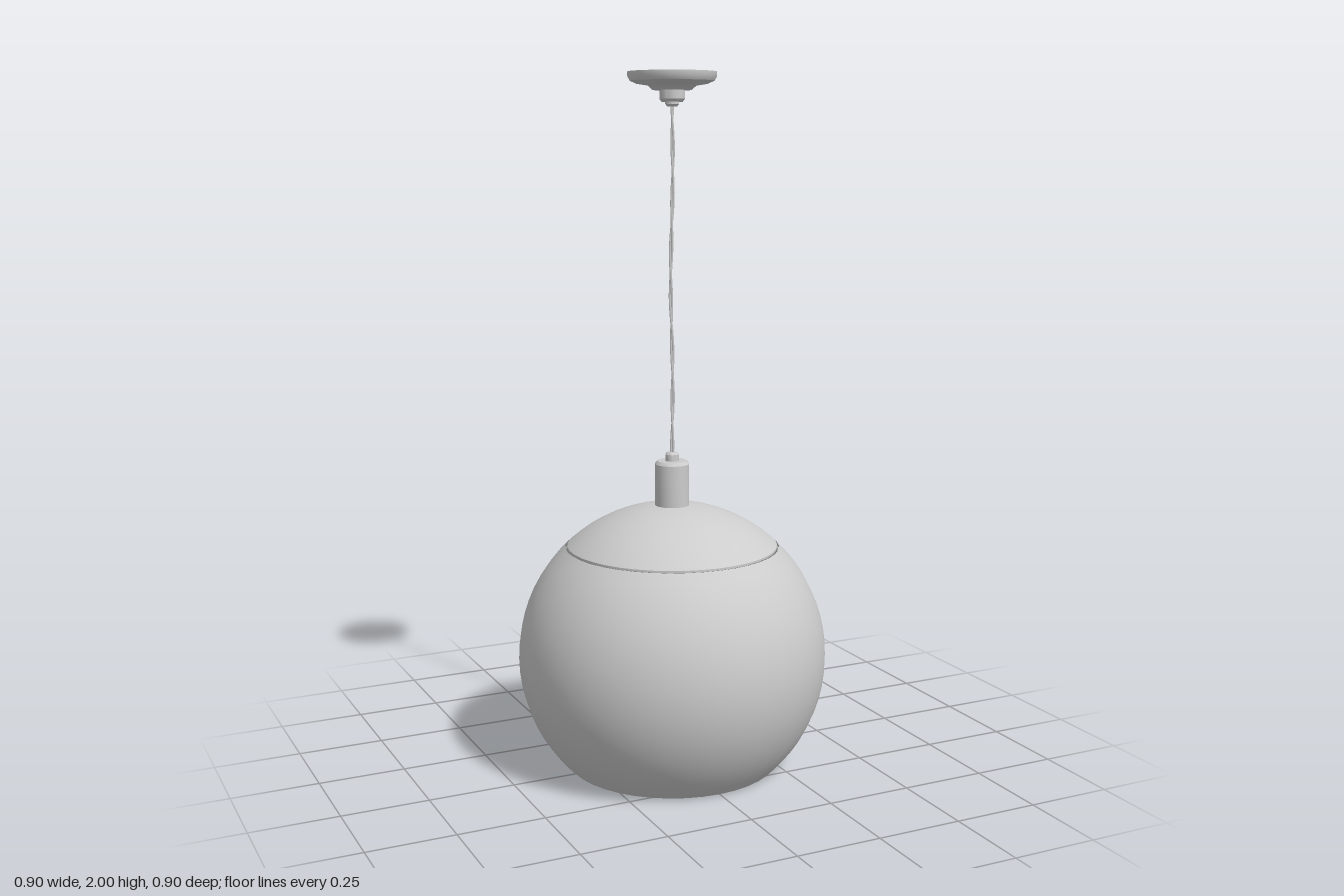
import * as THREE from 'three';
import { toCreasedNormals } from 'three/addons/utils/BufferGeometryUtils.js';

const R = 0.45;        // globe radius
const CENTRE = 0.325;  // globe centre height
const SEAM = 0.65;     // height where the cap meets the shade

// Points on a circle of radius r between two heights, listed from y0 to y1.
function arc(r, y0, y1, steps) {
  const a0 = Math.asin((y0 - CENTRE) / r), a1 = Math.asin((y1 - CENTRE) / r);
  return Array.from({ length: steps + 1 }, (_, i) => {
    const a = a0 + (a1 - a0) * i / steps;
    return [Math.max(0, r * Math.cos(a)), CENTRE + r * Math.sin(a)];
  });
}

export function createModel() {
  const group = new THREE.Group();
  const grey = new THREE.MeshStandardMaterial({ color: 0xcccccc, side: THREE.DoubleSide });
  grey.name = 'light grey';

  const add = (name, geometry) => {
    const mesh = new THREE.Mesh(geometry, grey);
    mesh.name = name;
    group.add(mesh);
  };
  // Profiles run from bottom to top on the outside.
  const turn = (name, profile, sides) => {
    const points = profile.map(([x, y]) => new THREE.Vector2(x, y));
    add(name, toCreasedNormals(new THREE.LatheGeometry(points, sides), 0.6));
  };

  // Open globe shade: inner wall, lower rim, outer wall
  const inner = arc(R - 0.008, 0.002, SEAM - 0.008, 18).reverse();
  turn('shade', [...inner, ...arc(R, 0, SEAM, 18)], 40);

  // Domed cap with a small rolled edge at the seam
  const dome = arc(R, SEAM + 0.012, CENTRE + R, 10);
  turn('cap', [[0.296, SEAM - 0.008], [0.306, SEAM - 0.001], [0.306, SEAM + 0.005], ...dome], 40);

  // Lamp holder and cord grip
  turn('lampHolder', [[0.05, 0.76], [0.05, 0.893], [0.043, 0.902], [0, 0.902]], 20);
  turn('cordGrip', [[0.02, 0.9], [0.02, 0.921], [0.015, 0.927], [0, 0.927]], 14);

  // Two loosely twisted strands of cord
  for (const side of [0, 1]) {
    const points = [];
    for (let i = 0; i <= 40; i++) {
      const t = i / 40;
      const a = t * Math.PI * 7 + side * Math.PI;
      const bow = 0.003 * Math.sin(t * Math.PI);
      points.push(new THREE.Vector3(
        0.003 * Math.cos(a) + bow * Math.sin(t * 9),
        0.92 + t,
        0.003 * Math.sin(a) + bow * Math.cos(t * 7)));
    }
    add('cordStrand', new THREE.TubeGeometry(new THREE.CatmullRomCurve3(points), 120, 0.0035, 6));
  }

  // Ceiling canopy with stepped neck
  turn('canopy', [[0.055, 1.95], [0.068, 1.962], [0.1, 1.967], [0.118, 1.975],
    [0.125, 1.987], [0.125, 2], [0, 2]], 24);
  turn('canopyNeck', [[0, 1.918], [0.03, 1.918], [0.036, 1.926], [0.036, 1.95], [0.055, 1.95]], 20);
  turn('canopyGrip', [[0, 1.905], [0.014, 1.905], [0.02, 1.912], [0.02, 1.92]], 14);

  return group;
}
